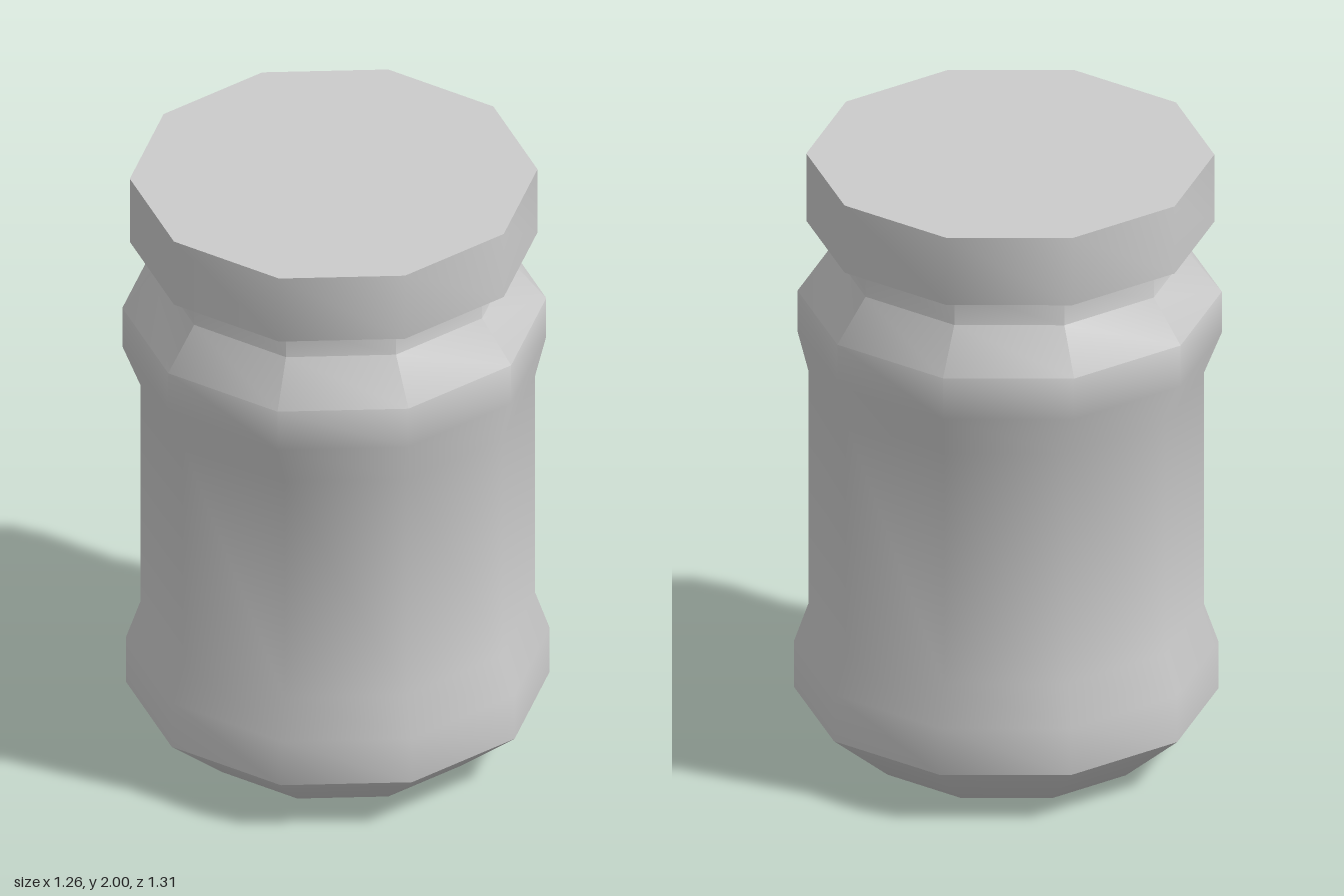
import * as THREE from 'three';
import { toCreasedNormals } from 'three/addons/utils/BufferGeometryUtils.js';

const SIDES = 10;

// Ten-sided turned solid from rows of [radius, height, sideways shift]
function turned(name, rows, creaseDegrees, material) {
  const points = rows.map(([r, y]) => new THREE.Vector2(r, y));
  const lathe = new THREE.LatheGeometry(points, SIDES);
  const pos = lathe.attributes.position;
  for (let i = 0; i < pos.count; i++) {
    pos.setX(i, pos.getX(i) + rows[i % rows.length][2]);
  }
  const geometry = toCreasedNormals(lathe, THREE.MathUtils.degToRad(creaseDegrees));
  const mesh = new THREE.Mesh(geometry, material);
  mesh.name = name;
  return mesh;
}

export function createModel() {
  const group = new THREE.Group();
  group.name = 'jar';
  const grey = new THREE.MeshStandardMaterial({ color: 0xcccccc });

  // Body: chamfered foot, lower band, straight wall, shoulder band, neck
  group.add(turned('jarBody', [
    [0, 0, 0],
    [0.455, 0, 0],
    [0.655, 0.17, 0.003],
    [0.655, 0.33, 0.003],
    [0.61, 0.46, 0.003],
    [0.61, 1.25, 0.003],
    [0.655, 1.39, -0.008],
    [0.655, 1.53, -0.008],
    [0.55, 1.665, -0.01],
    [0.55, 1.78, -0.01],
  ], 43, grey));

  // Lid: flat drum overhanging the neck
  group.add(turned('lid', [
    [0, 1.77, -0.01],
    [0.63, 1.77, -0.01],
    [0.63, 2, -0.01],
    [0, 2, -0.01],
  ], 43, grey));

  return group;
}
